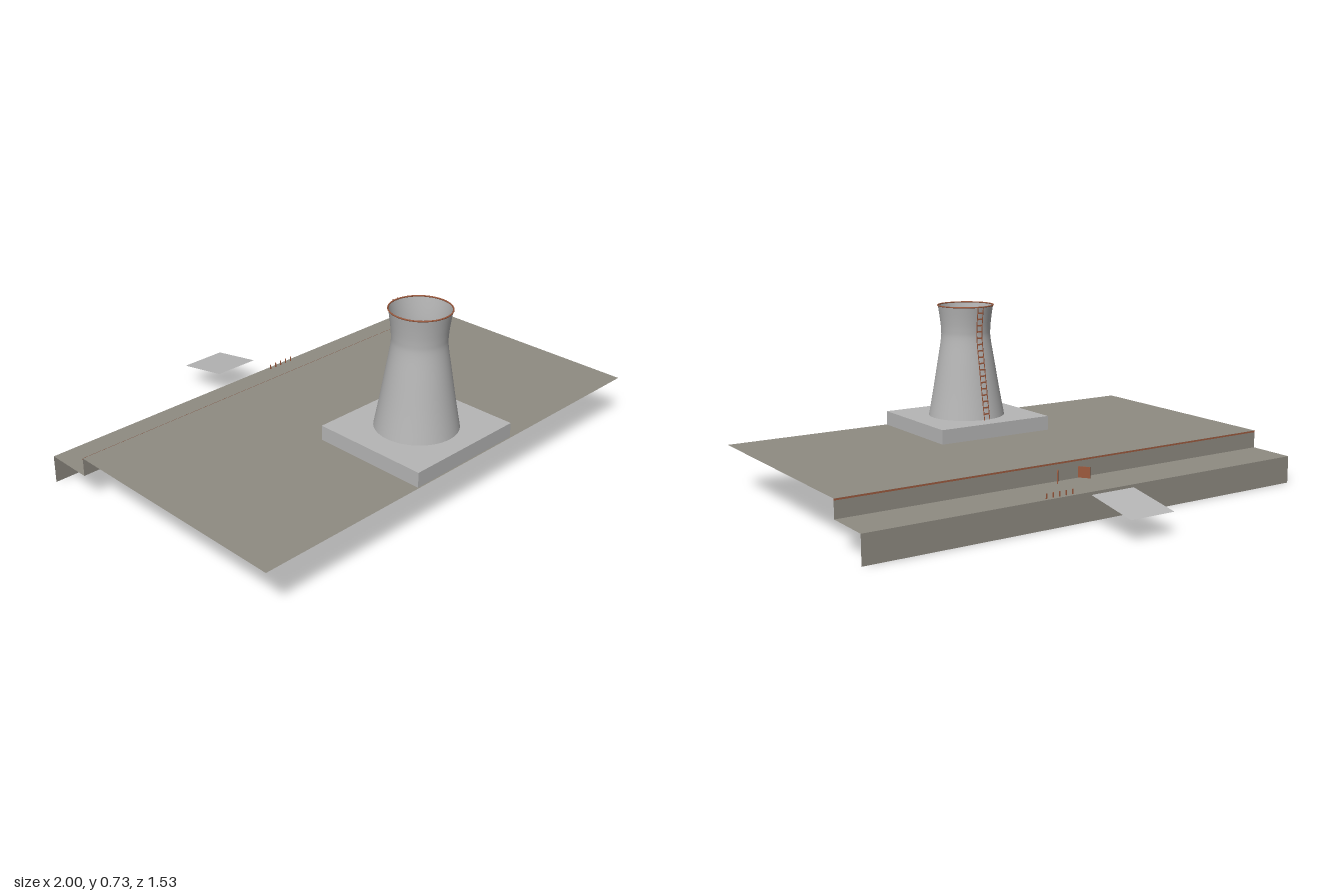
import * as THREE from 'three';

const mat = (name, color, side = THREE.FrontSide) => {
  const m = new THREE.MeshStandardMaterial({ color, side });
  m.name = name;
  return m;
};

export function createModel() {
  const model = new THREE.Group();
  const earth = mat('weathered ground', 0x8f8b82, THREE.DoubleSide);
  const concrete = mat('pale concrete', 0xb6b6b6, THREE.DoubleSide);
  const rust = mat('rusty metal', 0x9c5a3e, THREE.DoubleSide);

  const add = (name, geo, material, x = 0, y = 0, z = 0, parent = model) => {
    const mesh = new THREE.Mesh(geo, material);
    mesh.name = name;
    mesh.position.set(x, y, z);
    parent.add(mesh);
    return mesh;
  };

  // Stepped ground: open sheets, two levels and two back-facing walls
  const sheet = (name, w, h, x, y, z, rotX, rotY, material) => {
    const m = add(name, new THREE.PlaneGeometry(w, h), material, x, y, z);
    m.rotation.set(rotX, rotY, 0);
    return m;
  };
  const flat = -Math.PI / 2;
  sheet('upperGround', 2, 1.015, 0, 0.19, 0.2575, flat, 0, earth);
  sheet('stepWall', 2, 0.075, 0, 0.1525, -0.25, 0, Math.PI, earth);
  sheet('lowerLedge', 2, 0.205, 0, 0.115, -0.3525, flat, 0, earth);
  sheet('quayWall', 2, 0.115, 0, 0.0575, -0.455, 0, Math.PI, earth);
  sheet('wallEdgeTrim', 2, 0.007, 0, 0.1865, -0.2515, 0, Math.PI, rust);
  sheet('doorwayPanel', 0.195, 0.045, 0, 0.1375, -0.2512, 0, Math.PI, earth);

  // Floating landing plate, sloping down towards the back
  const drop = 0.04, run = 0.235;
  sheet('landingPlate', 0.2, Math.hypot(drop, run), 0, 0.11, -0.6525,
    flat - Math.atan2(drop, run), 0, concrete);

  // Open doors, splayed outwards from the step wall
  for (const side of [-1, 1]) {
    const door = add('door', new THREE.BoxGeometry(0.004, 0.045, 0.052), rust, side * 0.063, 0.138, -0.268);
    door.rotation.y = -side * 0.65;
  }

  // Row of small posts on the ledge
  for (let i = 0; i < 5; i++) {
    add('ledgePost', new THREE.BoxGeometry(0.005, 0.02, 0.003), rust, 0.115 + i * 0.03, 0.125, -0.44);
  }

  // Foundation slab
  add('foundation', new THREE.BoxGeometry(0.53, 0.065, 0.49), concrete, 0, 0.2185, 0.515);

  // Open waisted tower
  const tower = new THREE.Group();
  tower.name = 'coolingTower';
  tower.position.z = 0.515;
  model.add(tower);
  const curve = new THREE.SplineCurve([
    [0.165, 0.25], [0.145, 0.36], [0.125, 0.48], [0.108, 0.585],
    [0.107, 0.63], [0.112, 0.68], [0.12, 0.733],
  ].map(([r, y]) => new THREE.Vector2(r, y)));
  add('towerShell', new THREE.LatheGeometry(curve.getPoints(30), 48), concrete, 0, 0, 0, tower);
  const rim = add('towerRim', new THREE.TorusGeometry(0.12, 0.003, 6, 48), rust, 0, 0.731, 0, tower);
  rim.rotation.x = Math.PI / 2;

  // Ladder following the back of the tower
  const ladder = new THREE.Group();
  ladder.name = 'ladder';
  tower.add(ladder);
  const gap = 0.006;
  const path = curve.getPoints(20).map(p => new THREE.Vector3(0, p.y, -p.x - gap));
  for (const x of [-0.013, 0.013]) {
    const rail = new THREE.CatmullRomCurve3(path.map(p => new THREE.Vector3(x, p.y, p.z)));
    add('ladderRail', new THREE.TubeGeometry(rail, 24, 0.002, 5), rust, 0, 0, 0, ladder);
  }
  for (let i = 1; i < 18; i++) {
    const p = curve.getPointAt(i / 18);
    add('ladderRung', new THREE.BoxGeometry(0.026, 0.006, 0.004), rust, 0, p.y, -p.x - gap, ladder);
  }

  return model;
}
